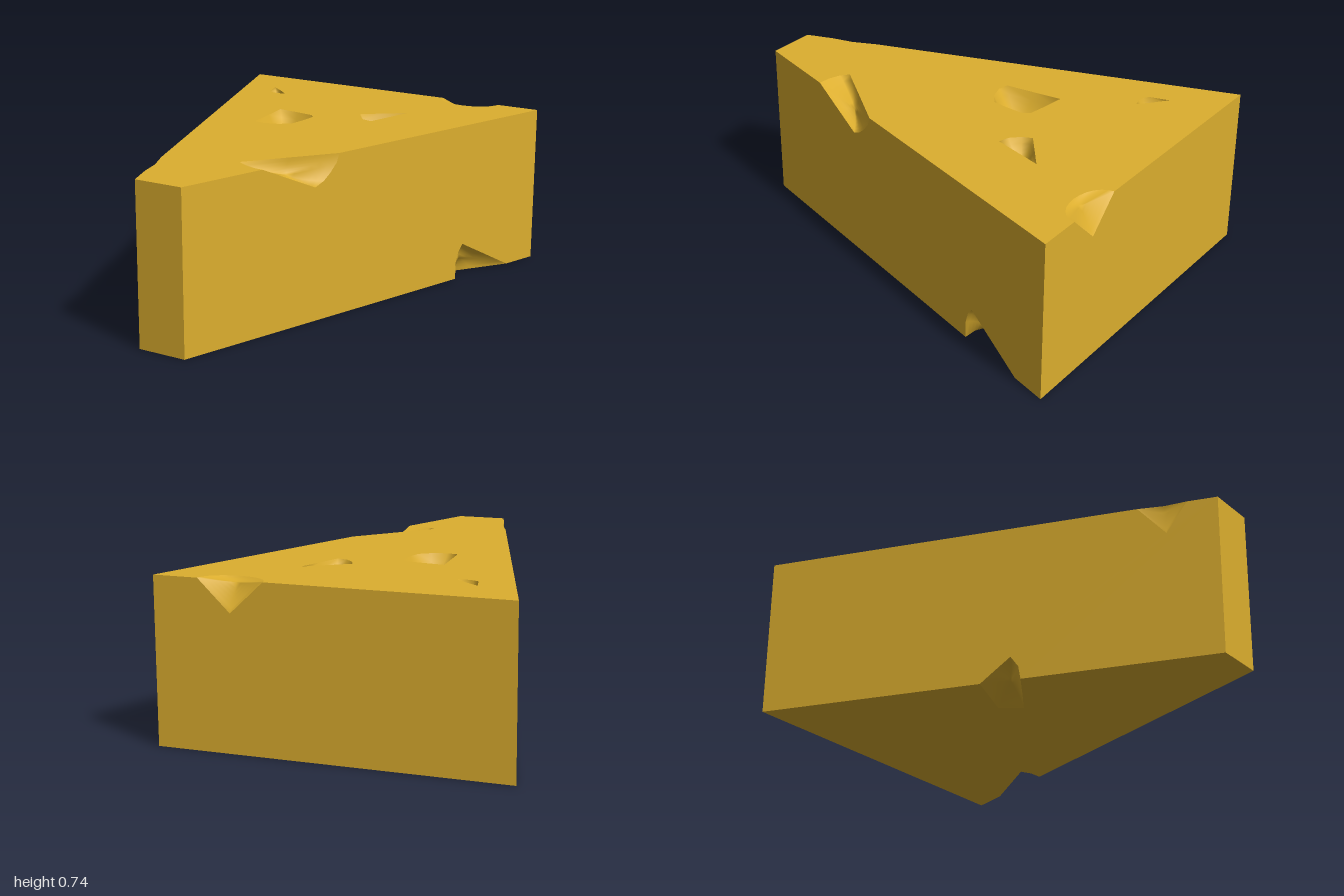
import * as THREE from 'three';

const H = 0.74;
const V = (x, y, z) => new THREE.Vector3(x, y, z);
const edgeX = (z) => 0.115 + 0.3375 * (1 - z);          // half width of the wedge at z
const onTop = (pts) => pts.map(([x, z]) => V(x, H, z));
const onBottom = (pts) => pts.map(([x, z]) => V(x, 0, z));
const onSide = (s, pts) => pts.map(([z, y]) => V(s * edgeX(z), y, z));

const material = new THREE.MeshStandardMaterial({ color: 0xdcae2e });

// Mesh from points and triangles, each triangle turned to face along `out`
function makeMesh(name, points, tris, out) {
  const index = [];
  for (const [a, b, c] of tris) {
    const n = points[b].clone().sub(points[a]).cross(points[c].clone().sub(points[a]));
    index.push(...(n.dot(out) < 0 ? [a, c, b] : [a, b, c]));
  }
  const g = new THREE.BufferGeometry().setFromPoints(points);
  g.setIndex(index);
  g.computeVertexNormals();
  const mesh = new THREE.Mesh(g, material);
  mesh.name = name;
  return mesh;
}

// Flat face with openings; u and v name the axes it is triangulated in
function face(name, outline, holes, u, v, out) {
  const flat = (l) => l.map((p) => new THREE.Vector2(p[u], p[v]));
  const tris = THREE.ShapeUtils.triangulateShape(flat(outline), holes.map(flat));
  return makeMesh(name, [outline, ...holes].flat(), tris, out);
}

// Rounded hollow spanning a closed rim, pushed inward along dir
function hollow(name, rim, dir, depth) {
  const inward = dir.clone().normalize();
  const centre = V(0, 0, 0);
  rim.forEach((p) => centre.addScaledVector(p, 1 / rim.length));
  const n = rim.length, rings = 6, points = [], tris = [];
  for (let r = 0; r < rings; r++) {
    const t = 1 - r / rings;
    for (const p of rim) {
      points.push(centre.clone().lerp(p, t).addScaledVector(inward, depth * (1 - t * t)));
    }
  }
  const tip = points.push(centre.clone().addScaledVector(inward, depth)) - 1;
  for (let r = 0; r < rings; r++) {
    for (let i = 0; i < n; i++) {
      const a = r * n + i, b = r * n + (i + 1) % n;
      if (r === rings - 1) tris.push([a, b, tip]);
      else tris.push([a, b, b + n], [a, b + n, a + n]);
    }
  }
  return makeMesh(name, points, tris, inward.negate());
}

export function createModel() {
  const group = new THREE.Group();
  group.name = 'cheeseWedge';

  // Hollows wholly inside the top: rim and depth
  const topHollows = [
    { rim: onTop([[-0.55, -0.77], [-0.48, -0.715], [-0.43, -0.67], [-0.47, -0.66], [-0.5, -0.665], [-0.525, -0.68]]), depth: 0.05 },
    { rim: onTop([[0.29, -0.62], [0.2, -0.55], [0.11, -0.48], [0.13, -0.435], [0.17, -0.395], [0.22, -0.38], [0.255, -0.5]]), depth: 0.08 },
    { rim: onTop([[-0.27, -0.37], [-0.16, -0.355], [-0.075, -0.34], [-0.055, -0.31], [-0.06, -0.22], [-0.07, -0.15],
      [-0.12, -0.11], [-0.19, -0.09], [-0.24, -0.1], [-0.255, -0.24]]), depth: 0.11 },
  ];

  // Bites across an edge: one curve on the flat (top or bottom), one on the wall, same ends
  const arc = [];
  for (let i = 0; i <= 12; i++) {
    const a = Math.PI * (1 - i / 12);
    arc.push([0.438 + 0.148 * Math.cos(a), -1 + 0.1 * Math.sin(a)]);
  }
  const bites = {
    back: {
      flat: onTop(arc),
      wall: [V(0.29, H, -1), V(0.44, 0.6, -1), V(0.586, H, -1)],
      dir: V(0, -1, 1), depth: 0.015,
    },
    leftTop: {
      flat: onTop([[edgeX(0.2), 0.2], [0.24, 0.378], [0.1, 0.55], [0.135, 0.58], [0.19, 0.6], [edgeX(0.605), 0.605]]),
      wall: onSide(1, [[0.2, H], [0.215, 0.7], [0.25, 0.66], [0.285, 0.63], [0.33, 0.61], [0.47, 0.676], [0.605, H]]),
      dir: V(-1, -1, 0), depth: 0.045,
    },
    rightTop: {
      flat: onTop([[-edgeX(0.87), 0.87], [-0.182, 0.77], [-edgeX(0.66), 0.66]]),
      wall: onSide(-1, [[0.87, H], [0.78, 0.6], [0.66, H]]),
      dir: V(1, -0.3, 0), depth: 0.01,
    },
    leftBottom: {
      flat: onBottom([[edgeX(-0.835), -0.835], [0.62, -0.68], [0.51, -0.53], [0.56, -0.505], [edgeX(-0.5), -0.5]]),
      wall: onSide(1, [[-0.835, 0], [-0.69, 0.081], [-0.54, 0.165], [-0.515, 0.13], [-0.5, 0.08], [-0.5, 0]]),
      dir: V(-1, 1, 0), depth: 0.04,
    },
    rightBottom: {
      flat: onBottom([[-edgeX(0.155), 0.155], [-0.26, 0.06], [-0.13, -0.03], [-0.2, -0.12], [-0.33, -0.07], [-edgeX(-0.02), -0.02]]),
      wall: onSide(-1, [[0.155, 0], [0.145, 0.06], [0.111, 0.11], [0.045, 0.055], [-0.02, 0]]),
      dir: V(1, 1, 0), depth: 0.04,
    },
  };

  // Corners of the wedge, running round from back right
  const corners = (y) => [V(-0.79, y, -1), V(0.79, y, -1), V(0.115, y, 1), V(-0.115, y, 1)];
  const t = corners(H), b = corners(0);
  const { back, leftTop, rightTop, leftBottom, rightBottom } = bites;
  const rev = (l) => [...l].reverse();

  group.add(
    face('topFace', [t[0], ...back.flat, t[1], ...leftTop.flat, t[2], t[3], ...rightTop.flat],
      topHollows.map((h) => h.rim), 'x', 'z', V(0, 1, 0)),
    face('bottomFace', [b[0], b[1], ...leftBottom.flat, b[2], b[3], ...rightBottom.flat], [], 'x', 'z', V(0, -1, 0)),
    face('backFace', [t[0], ...back.wall, t[1], b[1], b[0]], [], 'x', 'y', V(0, 0, -1)),
    face('frontFace', [t[2], t[3], b[3], b[2]], [], 'x', 'y', V(0, 0, 1)),
    face('leftFace', [t[1], ...leftTop.wall, t[2], b[2], ...rev(leftBottom.wall), b[1]], [], 'z', 'y', V(1, 0, 0)),
    face('rightFace', [t[3], ...rightTop.wall, t[0], b[0], ...rev(rightBottom.wall), b[3]], [], 'z', 'y', V(-1, 0, 0)),
  );

  topHollows.forEach((h, i) => group.add(hollow(`topHollow${i + 1}`, h.rim, V(0, -1, 0), h.depth)));
  for (const [name, { flat, wall, dir, depth }] of Object.entries(bites)) {
    group.add(hollow(`${name}Hollow`, [...flat, ...rev(wall.slice(1, -1))], dir, depth));
  }
  return group;
}
